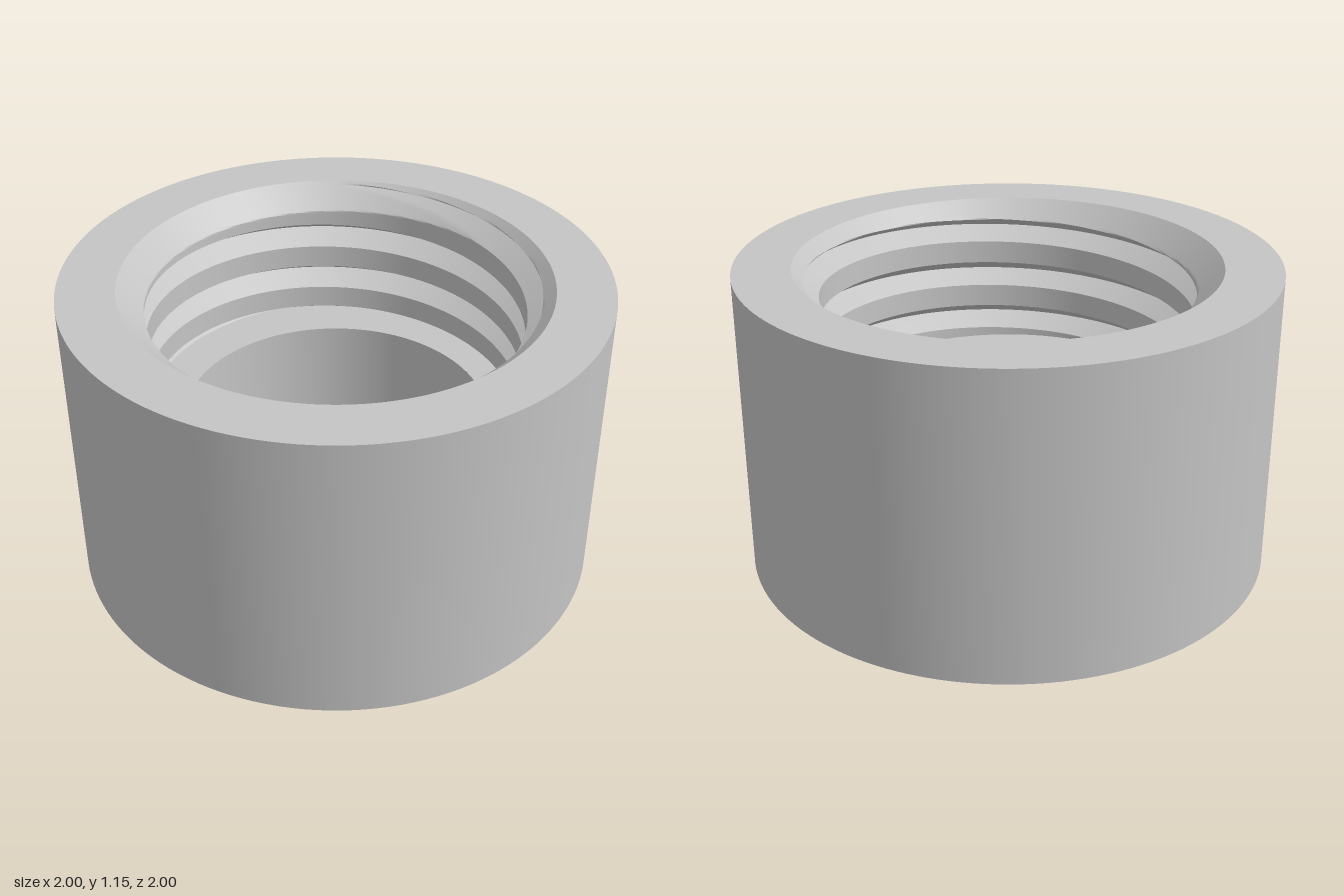
import * as THREE from 'three';
import { toCreasedNormals } from 'three/addons/utils/BufferGeometryUtils.js';

const HEIGHT = 1.155, LEDGE = 0.58;          // overall height, floor of the threaded bore
const BORE = 0.577, CREST = 0.693, ROOT = 0.775, RIM = 0.787;
const CHAMFER = 0.09;                         // depth of the lead-in chamfer
const PITCH = 0.191, ROWS = 38, HALF = 10;    // rows per turn, rows in half a groove
const COLS = 144;
const HALF_GROOVE = PITCH * HALF / ROWS;

// Height of one groove's root at angle a (right-handed helix)
const rootY = (a) => 1.065 - HALF_GROOVE + PITCH * (a / (2 * Math.PI) - 2 / 3);

// Inner radius: the larger of the V-groove cut and the chamfer cut
function innerRadius(a, y) {
  const t = (y - rootY(a)) / PITCH;
  const d = Math.abs(t - Math.round(t)) * PITCH;
  const thread = CREST + (ROOT - CREST) * Math.max(0, 1 - d / HALF_GROOVE);
  const cone = RIM - (RIM - CREST) * (HEIGHT - y) / CHAMFER;
  return Math.max(thread, cone);
}

function point(a, r, y) {
  return new THREE.Vector3(r * Math.cos(a), y, -r * Math.sin(a));
}

function fromTriangles(build) {
  const pos = [];
  const tri = new THREE.Triangle();
  build((a, b, c) => {
    tri.set(a, b, c);
    if (tri.getArea() > 1e-8) for (const v of [a, b, c]) pos.push(v.x, v.y, v.z);
  });
  const g = new THREE.BufferGeometry();
  g.setAttribute('position', new THREE.Float32BufferAttribute(pos, 3));
  return toCreasedNormals(g, 0.4);
}

// Threaded wall: rows follow the helix and are clamped between ledge and rim
function threadGeometry() {
  return fromTriangles((add) => {
    const wall = (c, i) => {
      const a = c / COLS * 2 * Math.PI;
      const y = THREE.MathUtils.clamp(rootY(a) + i * PITCH / ROWS, LEDGE, HEIGHT);
      return point(a, innerRadius(a, y), y);
    };
    for (let c = 0; c < COLS; c++) {
      for (let i = -4 * ROWS; i < 3 * ROWS; i++) {
        const p = wall(c, i), q = wall(c + 1, i), s = wall(c, i + 1), t = wall(c + 1, i + 1);
        add(p, s, q);
        add(q, s, t);
      }
    }
  });
}

// Flat floor where the threaded bore narrows
function ledgeGeometry() {
  return fromTriangles((add) => {
    for (let c = 0; c < COLS; c++) {
      const a = c / COLS * 2 * Math.PI, b = (c + 1) / COLS * 2 * Math.PI;
      const p = point(a, BORE, LEDGE), q = point(b, BORE, LEDGE);
      const s = point(a, innerRadius(a, LEDGE), LEDGE), t = point(b, innerRadius(b, LEDGE), LEDGE);
      add(p, s, q);
      add(q, s, t);
    }
  });
}

// Plain bore, underside, outer wall and top face
function bodyGeometry() {
  const profile = [[BORE, LEDGE], [BORE, 0], [1, 0], [1, HEIGHT], [RIM, HEIGHT]];
  const g = new THREE.LatheGeometry(profile.map(([r, y]) => new THREE.Vector2(r, y)), COLS);
  return toCreasedNormals(g, 0.4);
}

export function createModel() {
  const group = new THREE.Group();
  group.name = 'threadedCollar';
  const steel = new THREE.MeshStandardMaterial({ color: 0xc4c4c4 });
  steel.name = 'light grey';
  const parts = { body: bodyGeometry(), innerThread: threadGeometry(), boreLedge: ledgeGeometry() };
  for (const [name, geometry] of Object.entries(parts)) {
    const mesh = new THREE.Mesh(geometry, steel);
    mesh.name = name;
    group.add(mesh);
  }
  return group;
}
